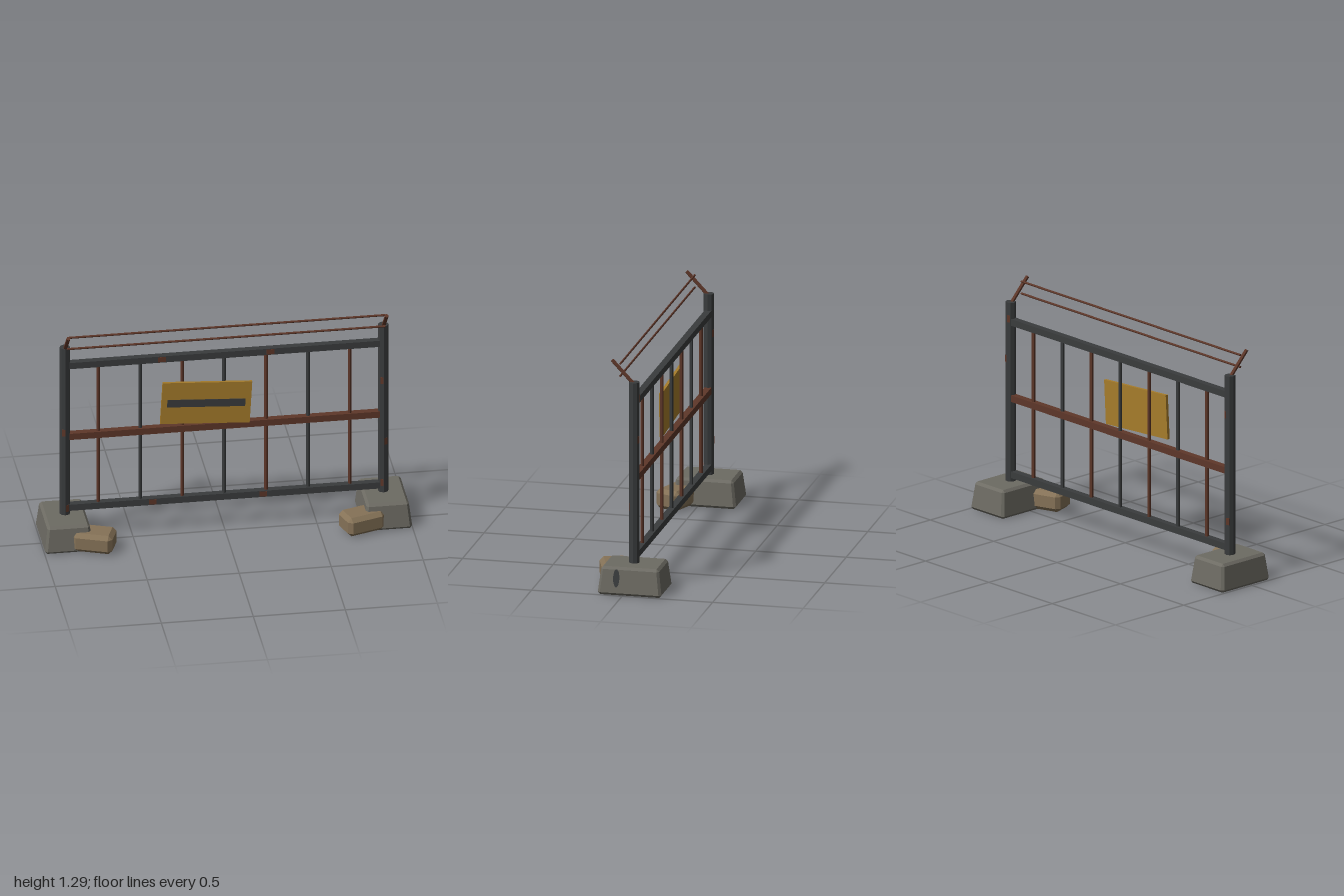
import * as THREE from 'three';
import { ConvexGeometry } from 'three/addons/geometries/ConvexGeometry.js';

const paint = (name, color) => {
  const m = new THREE.MeshStandardMaterial({ color, flatShading: true });
  m.name = name;
  return m;
};

// Block with every edge chamfered by c; the top is scaled by taperX and taperZ
function chamferedBlock(w, h, d, c, taperX = 1, taperZ = 1) {
  const points = [];
  for (const sx of [-1, 1]) for (const sy of [-1, 1]) for (const sz of [-1, 1]) {
    for (let axis = 0; axis < 3; axis++) {
      const p = [w / 2 - c, h / 2 - c, d / 2 - c];
      p[axis] += c;
      const t = p[1] * sy / h + 0.5;
      points.push(new THREE.Vector3(
        sx * p[0] * (1 + (taperX - 1) * t), sy * p[1], sz * p[2] * (1 + (taperZ - 1) * t)));
    }
  }
  return new ConvexGeometry(points);
}

export function createModel() {
  const steel = paint('dark steel', 0x3a3c3d);
  const rust = paint('rust', 0x5e3729);
  const concrete = paint('concrete', 0x6d6b63);
  const stone = paint('brown stone', 0x857257);
  const yellow = paint('faded yellow', 0xa67c2b);

  const group = new THREE.Group();
  const add = (name, geometry, material, x, y, z, parent = group) => {
    const mesh = new THREE.Mesh(geometry, material);
    mesh.name = name;
    mesh.position.set(x, y, z);
    parent.add(mesh);
    return mesh;
  };
  const Z = -0.036; // plane of the fence
  const POST_X = 0.865;

  // Posts, concrete feet, loose stones and slanted top arms
  const footShape = chamferedBlock(0.265, 0.155, 0.355, 0.014, 0.86, 0.89);
  const stoneShape = chamferedBlock(0.22, 0.11, 0.15, 0.022);
  const armStart = new THREE.Vector3(0, 1.155, -0.036);
  const armEnd = new THREE.Vector3(0, 1.285, 0.087);
  const armDirection = armEnd.clone().sub(armStart);
  for (const side of [-1, 1]) {
    add('foot', footShape, concrete, side * 0.867, 0.083, Z - 0.002);
    add('post', new THREE.CylinderGeometry(0.029, 0.029, 1.05, 8), steel, side * POST_X, 0.645, Z);
    const rock = add('looseStone', stoneShape, stone, side * 0.726, 0.065, 0.105);
    rock.rotation.y = side > 0 ? 0.32 : -0.36;
    const arm = add('topArm', new THREE.CylinderGeometry(0.0105, 0.0105, armDirection.length(), 6),
      rust, side * POST_X, 0, 0);
    arm.position.add(armStart.clone().add(armEnd).multiplyScalar(0.5));
    arm.quaternion.setFromUnitVectors(new THREE.Vector3(0, 1, 0), armDirection.clone().normalize());
  }

  // Horizontal rails
  const railShape = new THREE.BoxGeometry(1.69, 0.037, 0.037);
  add('bottomRail', railShape, steel, 0, 0.199, Z);
  add('middleRail', railShape, rust, 0, 0.63, Z);
  add('topRail', railShape, steel, 0, 1.061, Z);

  // Upright bars, alternating rusted and sound
  const barShape = new THREE.CylinderGeometry(0.0105, 0.0105, 0.85, 6);
  for (let i = 0; i < 7; i++) {
    add('uprightBar', barShape, i % 2 ? steel : rust, (i - 3) * 0.228, 0.63, Z);
  }

  // Wires strung between the arms
  const wireShape = new THREE.CylinderGeometry(0.006, 0.006, POST_X * 2, 6);
  for (const y of [1.198, 1.266]) {
    add('topWire', wireShape, rust, 0, y, 0.042).rotation.z = Math.PI / 2;
  }

  // Crooked sign with a dark stripe
  const sign = new THREE.Group();
  sign.name = 'sign';
  sign.position.set(-0.102, 0.787, -0.009);
  sign.rotation.z = -0.058;
  group.add(sign);
  add('signPlate', new THREE.BoxGeometry(0.487, 0.247, 0.016), yellow, 0, 0, 0, sign);
  add('signStripe', new THREE.BoxGeometry(0.425, 0.044, 0.006), steel, 0, 0, 0.008, sign);

  // Rust patches on the rails
  const railPatch = new THREE.BoxGeometry(0.042, 0.03, 0.003);
  for (const [x, y] of [[-0.34, 1.061], [0.25, 1.061], [-0.39, 0.199], [0.21, 0.199]]) {
    add('railRust', railPatch, rust, x, y, Z + 0.0185);
  }

  // Rust patches on the post facets: side, height, facet number from the front
  const postPatch = new THREE.BoxGeometry(0.018, 0.04, 0.003);
  const spots = [[-1, 0.66, 7], [-1, 0.2, 0], [-1, 0.95, 3], [1, 0.84, 7], [1, 0.47, 0],
    [1, 0.22, 7], [1, 1.08, 4], [1, 0.85, 3], [-1, 0.35, 4]];
  for (const [side, y, facet] of spots) {
    const a = (facet + 0.5) * Math.PI / 4;
    add('postRust', postPatch, rust, side * POST_X + Math.sin(a) * 0.0268, y,
      Z + Math.cos(a) * 0.0268).rotation.y = a;
  }

  // Dark stain on the outer face of the left foot
  const stain = add('footStain', new THREE.CylinderGeometry(0.05, 0.05, 0.003, 14), steel, 0.987, 0.1, 0.035);
  stain.scale.z = 0.35;
  stain.rotation.z = -Math.PI / 2 + 0.12;
  return group;
}
